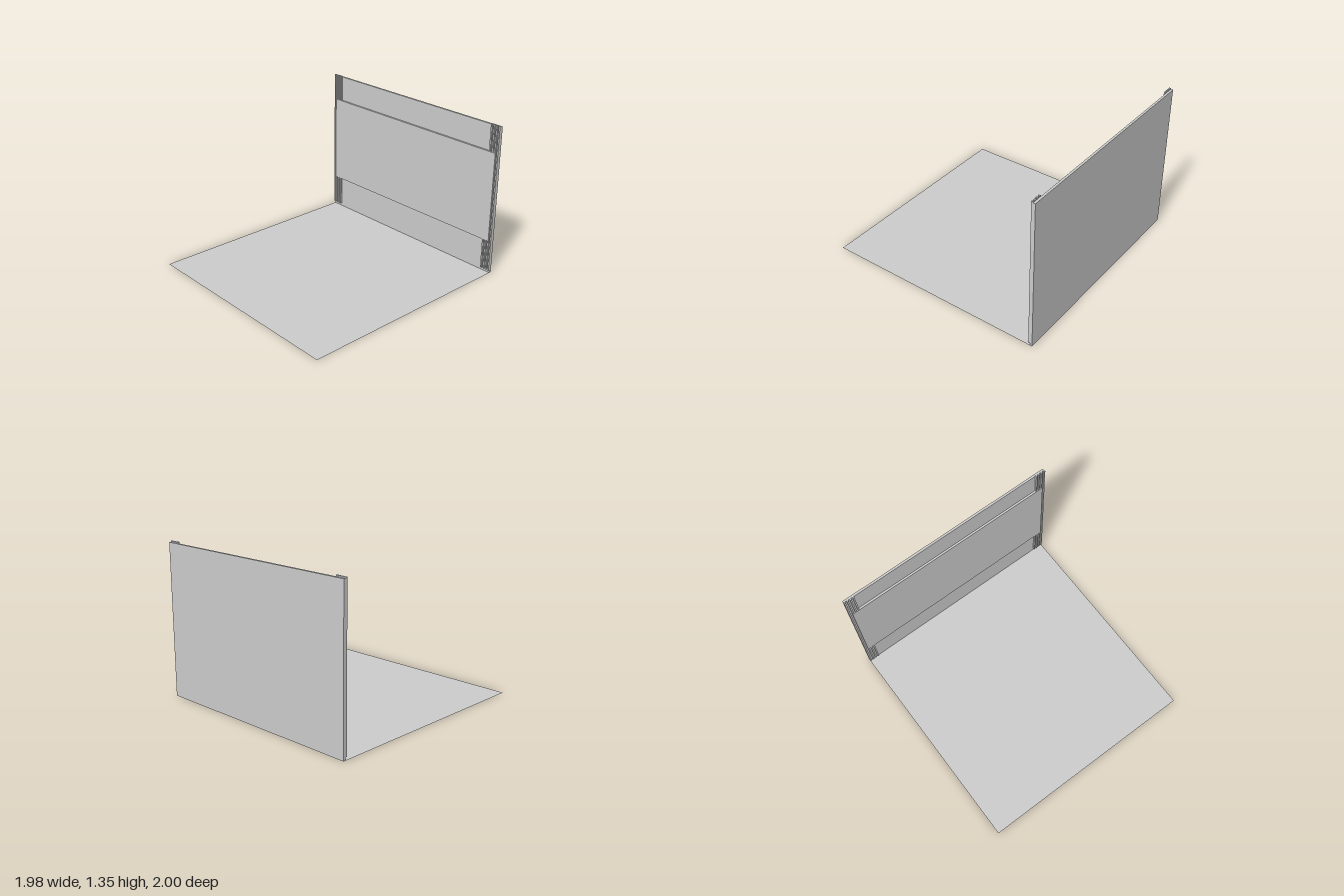
import * as THREE from 'three';

const material = new THREE.MeshStandardMaterial({ color: 0xcccccc });

// Box given by its min and max limits on each axis
function box(name, [x0, x1], [y0, y1], [z0, z1]) {
  const mesh = new THREE.Mesh(new THREE.BoxGeometry(x1 - x0, y1 - y0, z1 - z0), material);
  mesh.position.set((x0 + x1) / 2, (y0 + y1) / 2, (z0 + z1) / 2);
  mesh.name = name;
  return mesh;
}

export function createModel() {
  const model = new THREE.Group();
  model.name = 'panelWallWithFloor';

  // Thin floor sheet
  const floorMaterial = material.clone();
  floorMaterial.side = THREE.DoubleSide;
  const floor = new THREE.Mesh(new THREE.PlaneGeometry(1.98, 2).rotateX(-Math.PI / 2), floorMaterial);
  floor.name = 'floor';
  model.add(floor);

  // Upright wall and the raised panel across its middle
  model.add(box('backWall', [-0.99, 0.99], [0, 1.335], [-1, -0.98]));
  model.add(box('frontPanel', [-0.965, 0.965], [0.3, 1.105], [-0.98, -0.962]));

  // Ribbed strip along each side: a thin backing plate with four ribs
  const height = [0.025, 1.345];
  for (const side of [-1, 1]) {
    const strip = new THREE.Group();
    strip.name = side > 0 ? 'leftRibbedStrip' : 'rightRibbedStrip';
    const span = (a, b) => (side > 0 ? [a, b] : [-b, -a]);
    strip.add(box('stripBacking', span(0.897, 0.99), height, [-0.98, -0.976]));
    for (let i = 0; i < 4; i++) {
      const outer = 0.99 - i * 0.0266;
      strip.add(box('rib', span(outer - 0.0133, outer), height, [-0.976, -0.965]));
    }
    model.add(strip);
  }
  return model;
}
